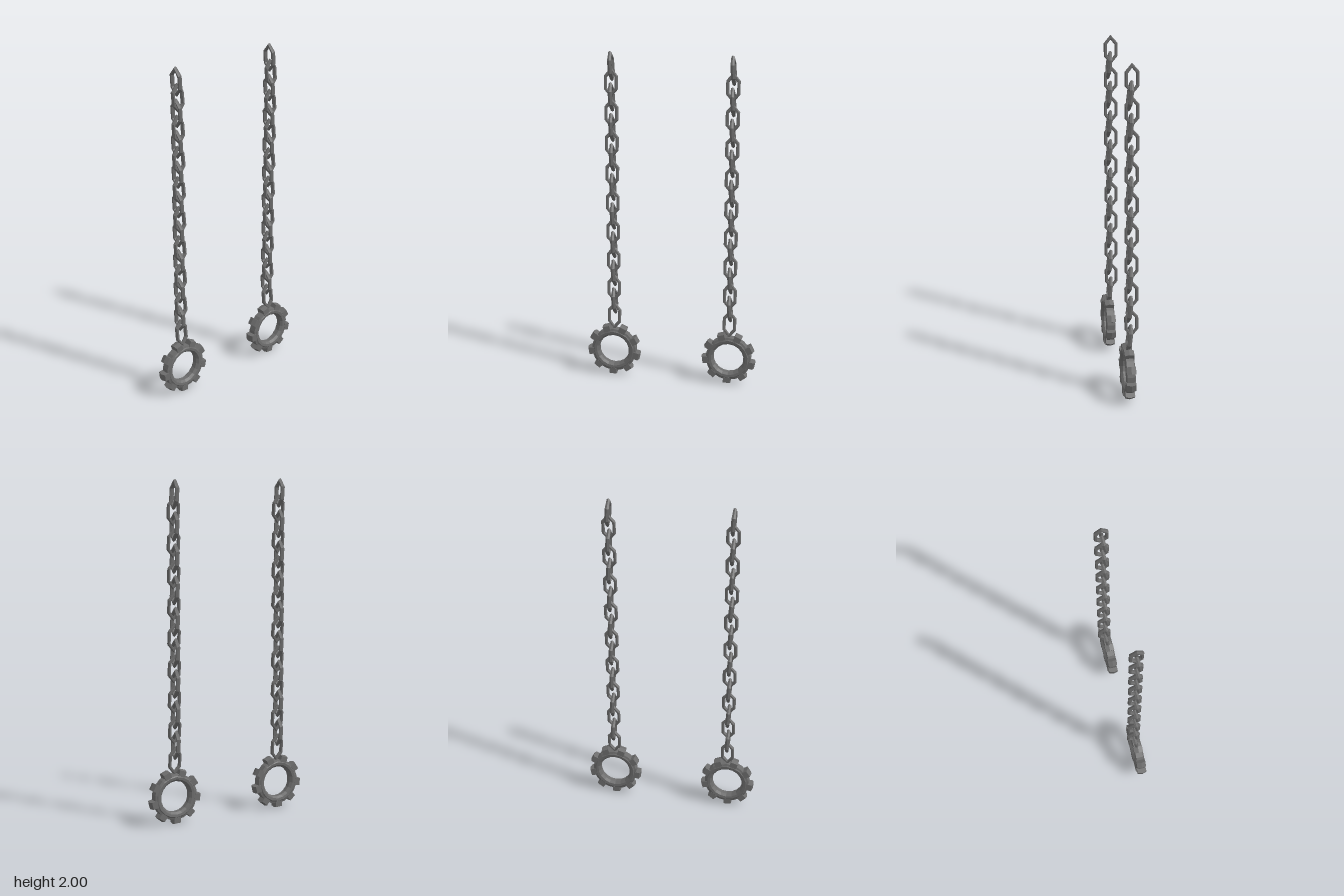
import * as THREE from 'three';

const metal = new THREE.MeshStandardMaterial({ color: 0x6c6c6c, flatShading: true });

function part(name, geometry) {
  const mesh = new THREE.Mesh(geometry, metal);
  mesh.name = name;
  return mesh;
}

// Long six-sided link with pointed ends, lying in the xy plane
function linkGeometry() {
  const tube = 0.4;
  const g = new THREE.TorusGeometry(1, tube, 6, 6);
  g.rotateZ(Math.PI / 6);
  const p = g.attributes.position;
  for (let i = 0; i < p.count; i++) {
    const x = p.getX(i), y = p.getY(i);
    const rho = Math.hypot(x, y);
    const d = (rho - 1) / tube; // -1 inside edge, +1 outside edge
    const isTip = Math.abs(y / rho) > 0.9;
    const height = isTip ? 0.073 + 0.014 * d : 0.035 + 0.004 * d;
    p.setXYZ(i,
      isTip ? 0 : Math.sign(x) * (0.0315 + 0.0095 * d),
      Math.sign(y) * height,
      p.getZ(i) / tube * (isTip ? 0.011 : 0.0135));
  }
  return g;
}

// Ring body: bevelled section turned around the z axis
function ringGeometry(segments) {
  const half = [[0.137, 0.022], [0.126, 0.025], [0.12, 0.029], [0.105, 0.027], [0.093, 0.014]];
  const upper = half.map(([r, h]) => new THREE.Vector2(r, h));
  const lower = half.map(([r, h]) => new THREE.Vector2(r, -h)).reverse();
  const section = [...upper, ...lower, upper[0].clone()];
  const g = new THREE.LatheGeometry(section, segments);
  g.rotateX(Math.PI / 2);
  return g;
}

// Tooth with a ridged tip, pointing along +y, its thickness along z
function toothGeometry() {
  const w = 0.043;
  const s = new THREE.Shape();
  s.moveTo(-0.028, 0.122);
  s.lineTo(0.028, 0.122);
  s.lineTo(0.028, 0.157);
  s.lineTo(0, 0.164);
  s.lineTo(-0.028, 0.157);
  s.closePath();
  const g = new THREE.ExtrudeGeometry(s, { depth: w, bevelEnabled: false });
  g.translate(0, 0, -w / 2);
  g.rotateY(Math.PI / 2);
  return g;
}

export function createModel() {
  const model = new THREE.Group();
  model.name = 'pairOfHangingRings';
  const link = linkGeometry();
  const body = ringGeometry(18);
  const tooth = toothGeometry();
  const teeth = 9;
  const pairs = 9;

  for (const [side, z] of [['front', 0.352], ['back', -0.352]]) {
    const hanger = new THREE.Group();
    hanger.name = side + 'Hanger';
    hanger.position.z = z;

    // Chain: links alternate between facing front and facing sideways
    const chain = new THREE.Group();
    chain.name = side + 'Chain';
    for (let i = 0; i < pairs; i++) {
      const facing = part('frontFacingLink', link);
      facing.position.set(-0.007, 1.913 - 0.18 * i, 0);
      facing.rotation.x = 0.06;
      const sideways = part('sideFacingLink', link);
      sideways.position.set(0.004, 1.82 - 0.18 * i, -0.001);
      sideways.rotation.set(0, Math.PI / 2, 0.11, 'ZYX');
      chain.add(facing, sideways);
    }

    // Toothed ring at the bottom, its axis along x
    const ring = new THREE.Group();
    ring.name = side + 'Ring';
    ring.position.set(0.014, 0.166, 0);
    ring.rotation.y = Math.PI / 2 - 0.018;
    ring.add(part('ringBody', body));
    for (let i = 0; i < teeth; i++) {
      const t = part('tooth', tooth);
      t.rotation.z = Math.PI - 0.05 + (i / teeth) * Math.PI * 2;
      ring.add(t);
    }

    hanger.add(chain, ring);
    model.add(hanger);
  }
  return model;
}
